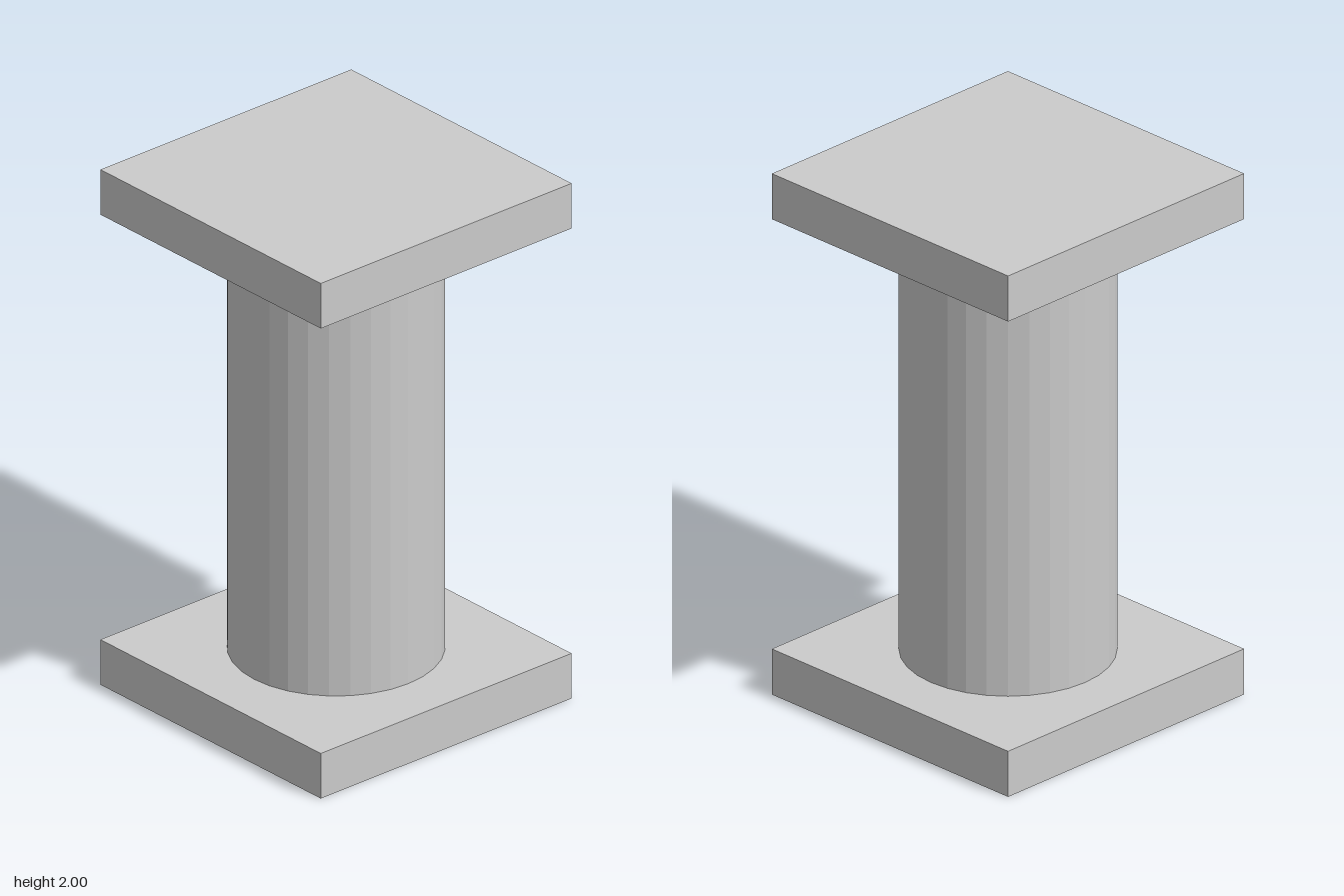
import * as THREE from 'three';

const WIDTH = 1.155, SLAB = 0.175, HEIGHT = 2, RADIUS = 0.378;

export function createModel() {
  const group = new THREE.Group();
  const material = new THREE.MeshStandardMaterial({ color: 0xcccccc, flatShading: true });

  const add = (name, geometry, y) => {
    const mesh = new THREE.Mesh(geometry, material);
    mesh.name = name;
    mesh.position.y = y;
    group.add(mesh);
  };

  // Square slabs at foot and head
  const slab = new THREE.BoxGeometry(WIDTH, SLAB, WIDTH);
  add('base', slab, SLAB / 2);
  add('capital', slab, HEIGHT - SLAB / 2);

  // Faceted round shaft between the slabs
  const shaft = new THREE.CylinderGeometry(RADIUS, RADIUS, HEIGHT - 2 * SLAB, 32, 1, true);
  add('shaft', shaft, HEIGHT / 2);

  return group;
}
